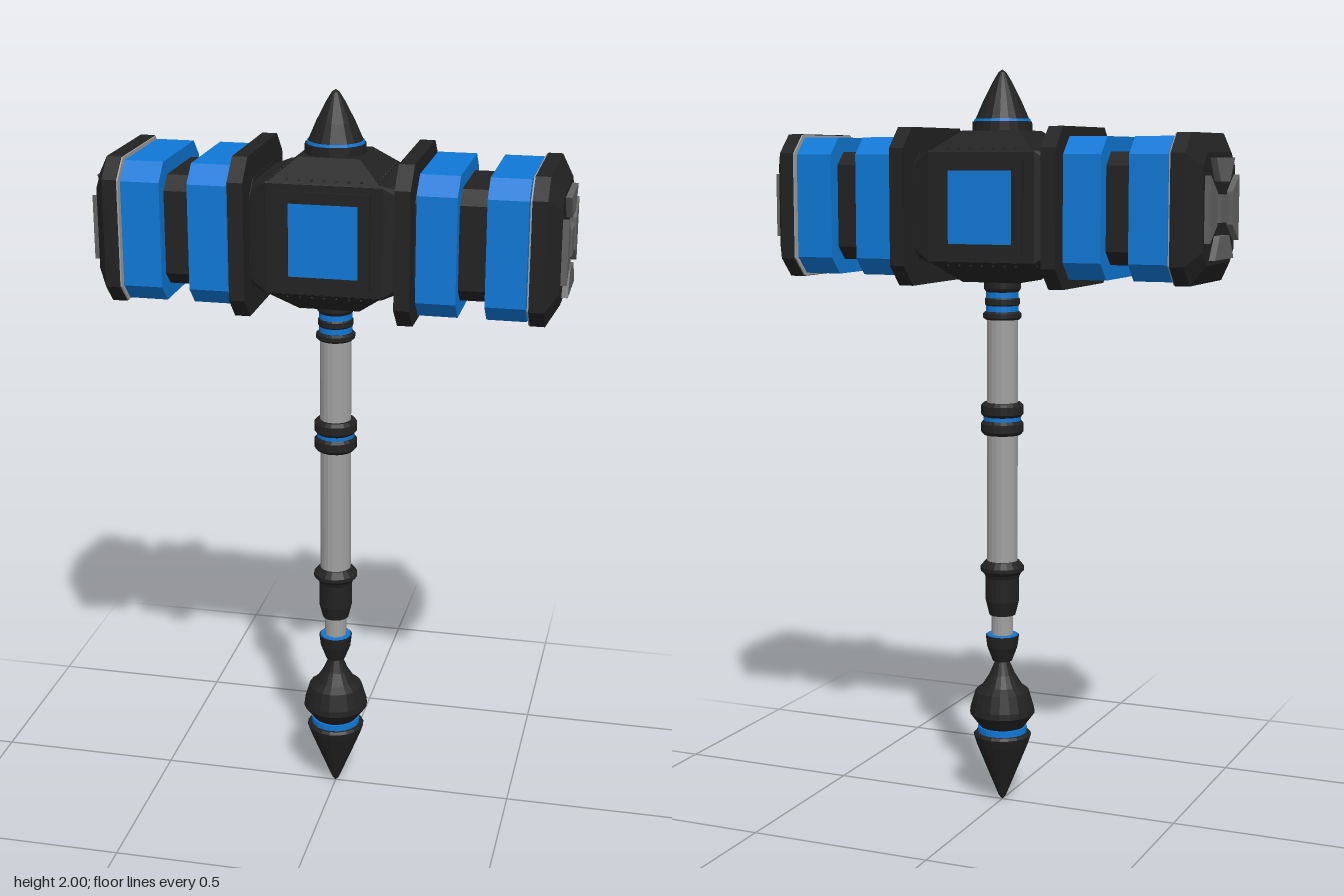
import * as THREE from 'three';

const HEAD_Y = 1.643;

function material(name, color) {
  const m = new THREE.MeshStandardMaterial({ color });
  m.name = name;
  m.flatShading = true;
  return m;
}

// Chamfered-square sections lofted along x; each section is [x, half size, chamfer]
function octLoft(sections) {
  const rings = sections.map(([x, h, c]) => {
    const k = h - c;
    return [[h, k], [k, h], [-k, h], [-h, k], [-h, -k], [-k, -h], [k, -h], [h, -k]].map(([y, z]) => [x, y, z]);
  });
  const pos = [];
  const tri = (a, b, c) => pos.push(...a, ...b, ...c);
  for (let s = 0; s < rings.length - 1; s++) {
    for (let i = 0; i < 8; i++) {
      const j = (i + 1) % 8, a = rings[s], b = rings[s + 1];
      tri(a[i], a[j], b[j]);
      tri(a[i], b[j], b[i]);
    }
  }
  const first = rings[0], last = rings[rings.length - 1];
  for (let i = 1; i < 7; i++) {
    tri(last[0], last[i], last[i + 1]);
    tri(first[0], first[i + 1], first[i]);
  }
  const g = new THREE.BufferGeometry();
  g.setAttribute('position', new THREE.Float32BufferAttribute(pos, 3));
  g.computeVertexNormals();
  return g;
}

// Turned part from [radius, y] points, listed bottom to top
function turned(points) {
  return new THREE.LatheGeometry(points.map(([r, y]) => new THREE.Vector2(r, y)), 20);
}

function polygon(points) {
  return new THREE.Shape(points.map(([x, y]) => new THREE.Vector2(x, y)));
}

export function createModel() {
  const dark = material('dark metal', 0x222222);
  const blue = material('blue enamel', 0x0f78d6);
  const steel = material('light steel', 0xa0a0a0);
  const grey = material('grey plate', 0x626262);
  const model = new THREE.Group();
  model.name = 'warHammer';

  const add = (parent, name, geometry, mat, x = 0, y = 0, z = 0) => {
    const m = new THREE.Mesh(geometry, mat);
    m.name = name;
    m.position.set(x, y, z);
    parent.add(m);
    return m;
  };

  // Head
  const head = new THREE.Group();
  head.name = 'head';
  head.position.y = HEAD_Y;
  model.add(head);

  add(head, 'centreBlock', octLoft([
    [-0.2, 0.13, 0.02], [-0.15, 0.146, 0.004], [0.15, 0.146, 0.004], [0.2, 0.13, 0.02],
  ]), dark);

  // Sloped plates above and below the centre block, with rivets along their edges
  for (const s of [1, -1]) {
    const slope = new THREE.Group();
    slope.name = s > 0 ? 'topSlope' : 'bottomSlope';
    slope.rotation.x = s > 0 ? 0 : Math.PI;
    head.add(slope);
    const frustum = new THREE.CylinderGeometry(0.08 * Math.SQRT2, 0.147 * Math.SQRT2, 0.055, 4);
    frustum.rotateY(Math.PI / 4);
    add(slope, 'slopedPlate', frustum, dark, 0, 0.1705, 0);
    const rivet = new THREE.SphereGeometry(0.004, 6, 4);
    for (let side = 0; side < 4; side++) {
      for (let i = -3; i <= 3; i++) {
        const p = new THREE.Vector3(i * 0.032, 0.152, 0.137).applyAxisAngle(new THREE.Vector3(0, 1, 0), side * Math.PI / 2);
        add(slope, 'rivet', rivet, dark, p.x, p.y, p.z);
      }
    }
  }

  // Framed blue panels, front and back
  const frame = polygon([[-0.12, -0.125], [0.12, -0.125], [0.12, 0.125], [-0.12, 0.125]]);
  frame.holes.push(new THREE.Path([[-0.09, -0.095], [-0.09, 0.095], [0.09, 0.095], [0.09, -0.095]].map(([x, y]) => new THREE.Vector2(x, y))));
  const frameGeo = new THREE.ExtrudeGeometry(frame, { depth: 0.012, bevelEnabled: false });
  for (const s of [1, -1]) {
    const panel = new THREE.Group();
    panel.name = s > 0 ? 'frontPanel' : 'backPanel';
    panel.rotation.y = s > 0 ? 0 : Math.PI;
    head.add(panel);
    add(panel, 'panelFrame', frameGeo, dark, 0, 0, 0.145);
    add(panel, 'panelInset', new THREE.BoxGeometry(0.18, 0.19, 0.008), blue, 0, 0, 0.149);
  }

  // Two mirrored striking ends
  const trapezoid = new THREE.ExtrudeGeometry(
    polygon([[-0.042, 0.068], [0.042, 0.068], [0.084, 0.128], [-0.084, 0.128]]),
    { depth: 0.018, bevelEnabled: false });
  for (const s of [1, -1]) {
    const end = new THREE.Group();
    end.name = s > 0 ? 'leftEnd' : 'rightEnd';
    end.rotation.y = s > 0 ? 0 : Math.PI;
    head.add(end);
    add(end, 'core', octLoft([[0.19, 0.143, 0.035], [0.53, 0.143, 0.035]]), dark);
    add(end, 'collar', octLoft([[0.192, 0.207, 0.055], [0.232, 0.207, 0.055]]), dark);
    for (const x of [0.242, 0.417]) {
      add(end, 'blueBand', octLoft([[x, 0.181, 0.045], [x + 0.102, 0.181, 0.045]]), blue);
    }
    add(end, 'capBacking', octLoft([[0.523, 0.188, 0.05], [0.527, 0.188, 0.05]]), steel);
    add(end, 'endCap', octLoft([[0.527, 0.19, 0.05], [0.565, 0.19, 0.05], [0.597, 0.14, 0.035]]), dark);

    // Raised face plates
    const face = new THREE.Group();
    face.name = 'strikingFace';
    face.position.x = 0.595;
    face.rotation.y = Math.PI / 2;
    end.add(face);
    for (let i = 0; i < 4; i++) {
      add(face, 'facePlate', trapezoid, grey).rotation.z = i * Math.PI / 2;
    }
    add(face, 'faceStud', new THREE.BoxGeometry(0.07, 0.07, 0.018), grey, 0, 0, 0.009);
  }

  // Top spike
  add(model, 'spikeBase', turned([[0, 1.835], [0.08, 1.838], [0.079, 1.865], [0, 1.866]]), dark);
  add(model, 'spikeRing', turned([[0, 1.864], [0.076, 1.864], [0.074, 1.872], [0, 1.873]]), blue);
  add(model, 'topSpike', turned([[0, 1.872], [0.071, 1.872], [0.05, 1.92], [0.024, 1.97], [0.01, 1.993], [0, 2]]), dark);

  // Handle
  add(model, 'grip', turned([[0, 0.65], [0.042, 0.65], [0.042, 1.4], [0, 1.4]]), steel);
  add(model, 'neckCore', turned([[0, 1.36], [0.044, 1.36], [0.044, 1.45], [0, 1.45]]), blue);
  for (const [y, r, h] of [[1.353, 0.052, 0.022], [1.39, 0.047, 0.028], [1.434, 0.05, 0.036]]) {
    add(model, 'neckRing', turned([[0, y - h / 2], [r - 0.006, y - h / 2], [r, y - h / 4], [r, y + h / 4], [r - 0.006, y + h / 2], [0, y + h / 2]]), dark);
  }
  add(model, 'middleBlueRing', turned([[0, 1.066], [0.051, 1.066], [0.051, 1.084], [0, 1.084]]), blue);
  for (const y of [1.05, 1.098]) {
    add(model, 'middleRing', turned([[0, y - 0.02], [0.05, y - 0.02], [0.058, y - 0.011], [0.058, y + 0.011], [0.05, y + 0.02], [0, y + 0.02]]), dark);
  }
  add(model, 'lowerSleeve', turned([
    [0, 0.53], [0.036, 0.53], [0.046, 0.57], [0.046, 0.635], [0.05, 0.645], [0.06, 0.655], [0.06, 0.665], [0.046, 0.682], [0, 0.682],
  ]), dark);
  add(model, 'lowerShaft', turned([[0, 0.45], [0.03, 0.45], [0.03, 0.54], [0, 0.54]]), steel);
  add(model, 'lowerCup', turned([[0, 0.4], [0.027, 0.4], [0.042, 0.44], [0.046, 0.472], [0, 0.472]]), dark);
  add(model, 'cupRim', turned([[0, 0.471], [0.043, 0.471], [0.042, 0.475], [0, 0.475]]), blue);

  // Pommel
  add(model, 'pommelBulb', turned([
    [0, 0.212], [0.06, 0.212], [0.09, 0.252], [0.088, 0.268], [0.074, 0.315], [0.055, 0.33], [0.035, 0.362], [0.017, 0.404], [0, 0.404],
  ]), dark);
  add(model, 'pommelRing', turned([[0, 0.195], [0.068, 0.195], [0.068, 0.214], [0, 0.214]]), blue);
  add(model, 'pommelSpike', turned([[0, 0], [0.01, 0.012], [0.05, 0.11], [0.072, 0.165], [0.08, 0.19], [0.074, 0.197], [0, 0.197]]), dark);

  return model;
}
